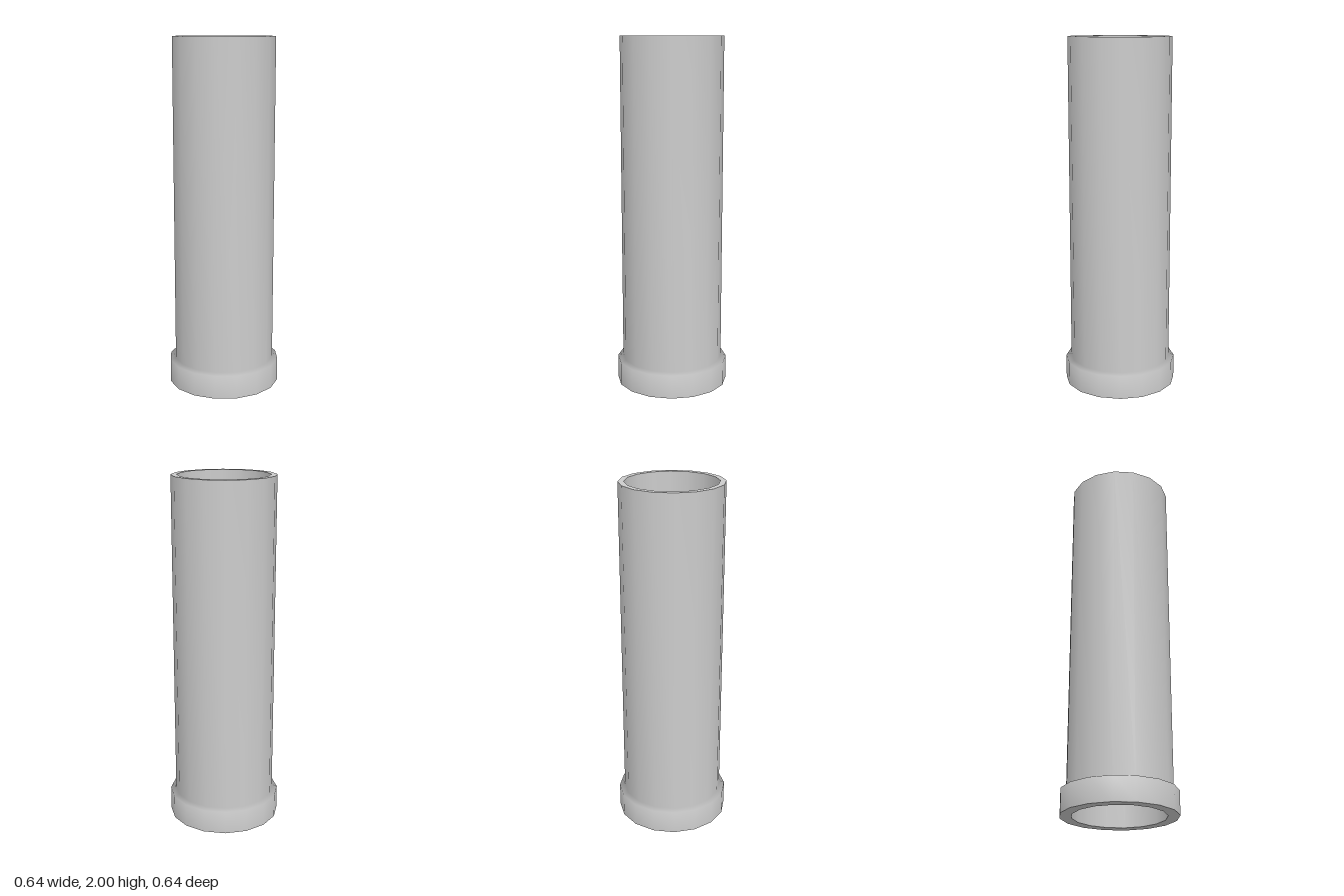
import * as THREE from 'three';
import { mergeVertices } from 'three/addons/utils/BufferGeometryUtils.js';

const SIDES = 16;
const OUTER = 0.289, INNER = 0.256, COLLAR = 0.32, HEIGHT = 2;

// Revolve a profile; shared vertices give area-weighted smooth normals within one strip
function revolve(profile) {
  const lathe = new THREE.LatheGeometry(profile.map(([r, y]) => new THREE.Vector2(r, y)), SIDES);
  lathe.deleteAttribute('uv');
  lathe.deleteAttribute('normal');
  const geometry = mergeVertices(lathe, 1e-4);
  geometry.computeVertexNormals();
  return geometry;
}

export function createModel() {
  const group = new THREE.Group();
  group.name = 'collaredPipe';
  const material = new THREE.MeshStandardMaterial({ color: 0xcccccc });

  // Each strip is a separate surface, so the rims stay crisp
  const strips = {
    outerWallAndCollar: [[COLLAR, 0], [COLLAR, 0.135], [OUTER, 0.145], [OUTER, HEIGHT]],
    topRim: [[OUTER, HEIGHT], [INNER, HEIGHT]],
    innerWall: [[INNER, HEIGHT], [INNER, 0]],
    bottomRim: [[INNER, 0], [COLLAR, 0]],
  };
  for (const [name, profile] of Object.entries(strips)) {
    const mesh = new THREE.Mesh(revolve(profile), material);
    mesh.name = name;
    group.add(mesh);
  }
  return group;
}
